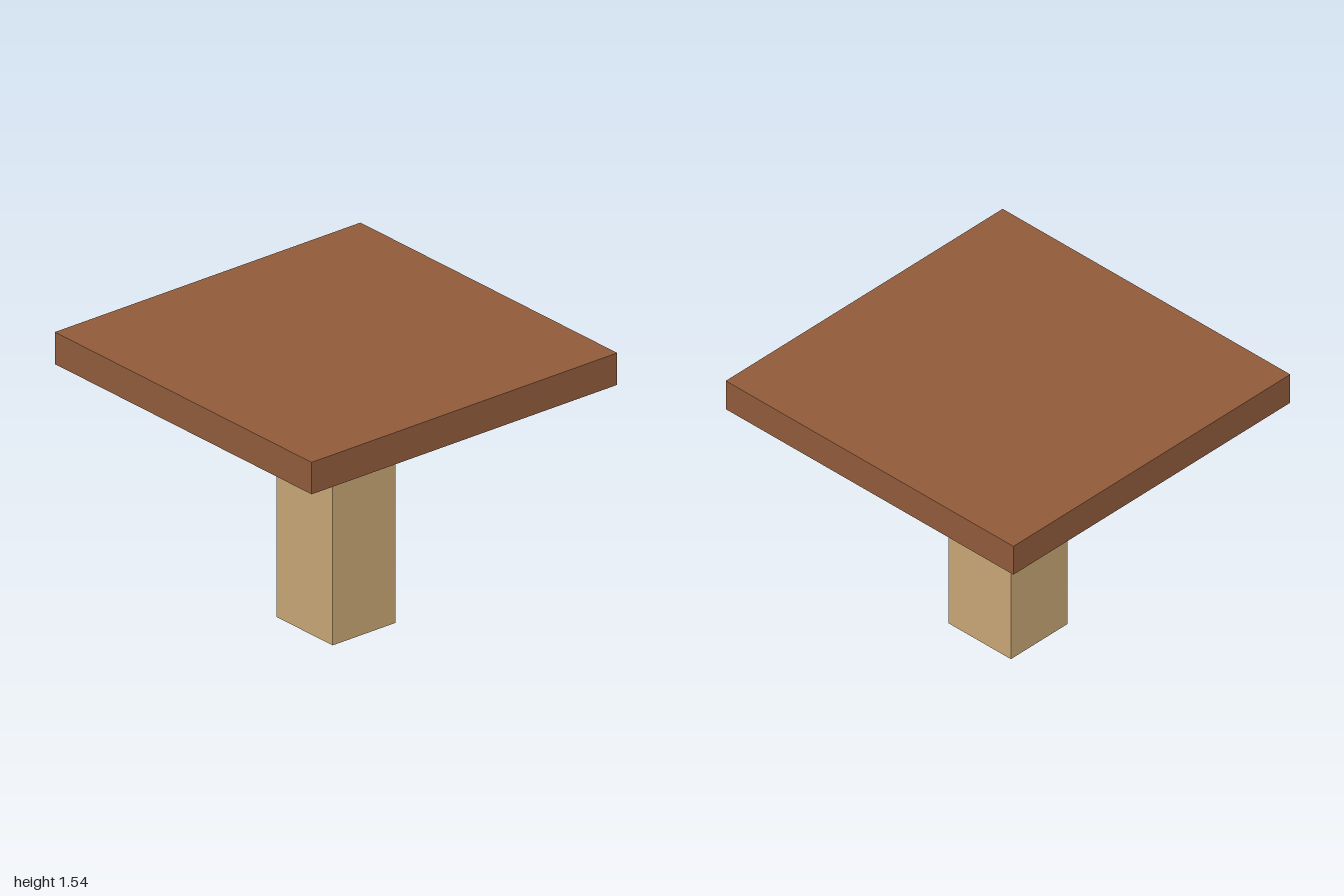
import * as THREE from 'three';

export function createModel() {
  const model = new THREE.Group();
  model.name = 'pedestalTable';

  const darkWood = new THREE.MeshStandardMaterial({ color: 0x915c3b });
  darkWood.name = 'dark wood';
  const lightWood = new THREE.MeshStandardMaterial({ color: 0xc8a675 });
  lightWood.name = 'light wood';

  const legHeight = 1.36;
  const topThickness = 0.177;

  // Adds a box standing on the given height
  function addBox(name, width, height, depth, bottom, material) {
    const mesh = new THREE.Mesh(new THREE.BoxGeometry(width, height, depth), material);
    mesh.name = name;
    mesh.position.y = bottom + height / 2;
    model.add(mesh);
  }

  // Square slab resting on a single central post
  addBox('leg', 0.41, legHeight, 0.435, 0, lightWood);
  addBox('tableTop', 2, topThickness, 2, legHeight, darkWood);

  return model;
}
